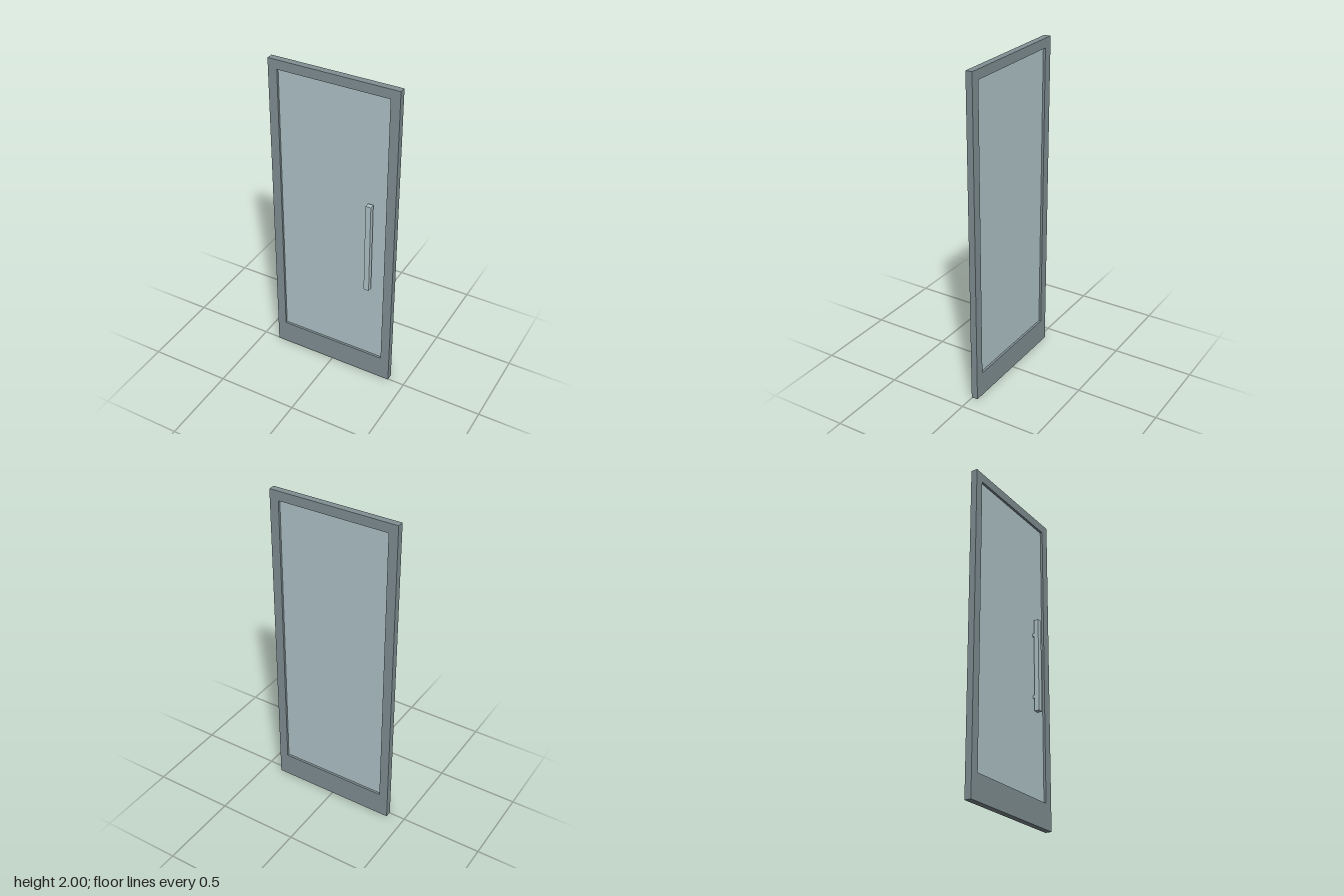
import * as THREE from 'three';

const frameGrey = new THREE.MeshStandardMaterial({ color: 0x819094 });
frameGrey.name = 'frame grey';
const paleGlass = new THREE.MeshStandardMaterial({ color: 0xb1c5c9 });
paleGlass.name = 'pale glass';

// Box given by its lower and upper corners
function block(name, material, [x0, y0, z0], [x1, y1, z1]) {
  const mesh = new THREE.Mesh(new THREE.BoxGeometry(x1 - x0, y1 - y0, z1 - z0), material);
  mesh.position.set((x0 + x1) / 2, (y0 + y1) / 2, (z0 + z1) / 2);
  mesh.name = name;
  return mesh;
}

export function createModel() {
  const door = new THREE.Group();
  door.name = 'glassDoor';
  const back = -0.036, front = 0.004;

  // Frame: one slab with a tall opening and a deeper bottom rail
  const outline = new THREE.Shape();
  outline.moveTo(-0.396, 0).lineTo(0.396, 0).lineTo(0.396, 2).lineTo(-0.396, 2).closePath();
  const opening = new THREE.Path();
  opening.moveTo(-0.34, 0.153).lineTo(-0.34, 1.943).lineTo(0.34, 1.943).lineTo(0.34, 0.153).closePath();
  outline.holes.push(opening);
  const frame = new THREE.Mesh(
    new THREE.ExtrudeGeometry(outline, { depth: front - back, bevelEnabled: false }), frameGrey);
  frame.position.z = back;
  frame.name = 'frame';
  door.add(frame);

  // Glass pane, recessed on both sides
  const paneFront = -0.01;
  door.add(block('glassPane', paleGlass, [-0.34, 0.153, -0.022], [0.34, 1.943, paneFront]));

  // Pull handle on the front, with two hidden mounts reaching the pane
  const handle = new THREE.Group();
  handle.name = 'pullHandle';
  handle.add(block('handleBar', paleGlass, [0.227, 0.677, front], [0.26, 1.265, 0.034]));
  for (const y of [0.76, 1.16]) {
    handle.add(block('handleMount', paleGlass, [0.234, y, paneFront], [0.253, y + 0.02, front]));
  }
  door.add(handle);

  return door;
}
